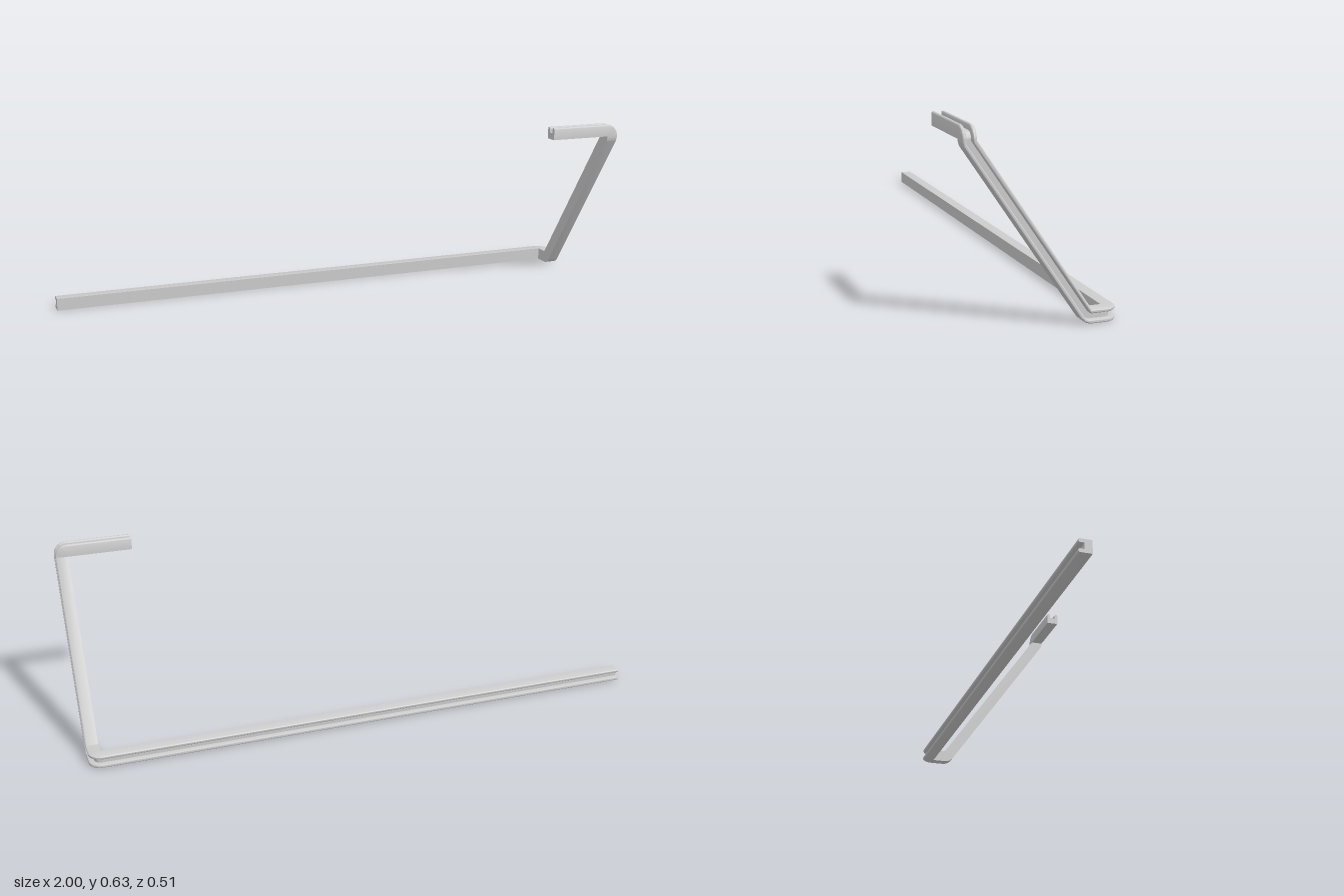
import * as THREE from 'three';
import { toCreasedNormals } from 'three/addons/utils/BufferGeometryUtils.js';

const DEPTH = 0.043, WIDTH = 0.044, FLANGE = 0.012, FLOOR = 0.024, R = 0.005;

// Grooved channel section: u runs from the web's back to the flange tips, v across.
function channelSection() {
  const s = new THREE.Shape();
  const flangeTip = (v0, v1) => {
    s.lineTo(DEPTH - R, v0);
    s.absarc(DEPTH - R, v0 + R, R, -Math.PI / 2, 0, false);
    s.absarc(DEPTH - R, v1 - R, R, 0, Math.PI / 2, false);
  };
  s.moveTo(0, -WIDTH);
  flangeTip(-WIDTH, -WIDTH + FLANGE);
  s.lineTo(FLOOR, -WIDTH + FLANGE);
  s.lineTo(FLOOR, -FLANGE);
  flangeTip(-FLANGE, 0);
  s.lineTo(0, 0);
  const pts = s.extractPoints(4).shape;
  return pts.filter((p, i) => p.distanceTo(pts[(i + 1) % pts.length]) > 1e-6);
}

// Stations along the inner edge; every bend pivots about that edge.
function stations() {
  const V3 = (x, y, z) => new THREE.Vector3(x, y, z);
  const xIn = 1 - DEPTH, yTop = 0.63 - DEPTH;
  const corners = [V3(-1, WIDTH, -0.212), V3(xIn, WIDTH, -0.212), V3(xIn, WIDTH, -0.165),
    V3(xIn, yTop, 0.211), V3(0.733, yTop, 0.211)];
  const u = V3(0, 0, -1), v = V3(0, 1, 0), list = [];
  const add = (p) => list.push({ p, u: u.clone(), v: v.clone() });
  const bend = (p, axis, angle, steps) => {
    for (let i = 0; i < steps; i++) {
      u.applyAxisAngle(axis, angle / steps);
      v.applyAxisAngle(axis, angle / steps);
      add(p);
    }
  };
  const slope = Math.atan2(yTop - WIDTH, 0.211 + 0.165);
  const X = V3(-1, 0, 0), Y = V3(0, -1, 0), Z = V3(0, 0, 1);
  add(corners[0]);
  add(corners[1]);
  bend(corners[1], Y, Math.PI / 2, 10);
  add(corners[2]);
  bend(corners[2], X, slope, 8);
  add(corners[3]);
  bend(corners[3], X, Math.PI / 2 - slope, 6);
  bend(corners[3], Z, Math.PI / 2, 10);
  add(corners[4]);
  return list;
}

// Skin the section along the stations and close both ends.
function sweep(section, frames) {
  const pos = [];
  const rings = frames.map(({ p, u, v }) =>
    section.map((c) => p.clone().addScaledVector(u, c.x).addScaledVector(v, c.y)));
  const tri = (a, b, c) => {
    const area = b.clone().sub(a).cross(c.clone().sub(a)).length();
    if (area > 1e-10) for (const q of [a, b, c]) pos.push(q.x, q.y, q.z);
  };
  const n = section.length;
  for (let i = 0; i < rings.length - 1; i++) {
    for (let j = 0; j < n; j++) {
      const k = (j + 1) % n, A = rings[i], B = rings[i + 1];
      tri(A[j], A[k], B[k]);
      tri(A[j], B[k], B[j]);
    }
  }
  const first = rings[0], last = rings[rings.length - 1];
  for (const [a, b, c] of THREE.ShapeUtils.triangulateShape(section, [])) {
    tri(first[a], first[c], first[b]);
    tri(last[a], last[b], last[c]);
  }
  const g = new THREE.BufferGeometry();
  g.setAttribute('position', new THREE.Float32BufferAttribute(pos, 3));
  return toCreasedNormals(g, 0.6);
}

export function createModel() {
  const group = new THREE.Group();
  group.name = 'bentChannelRail';
  const rail = new THREE.Mesh(sweep(channelSection(), stations()),
    new THREE.MeshStandardMaterial({ color: 0xcccccc }));
  rail.name = 'channelRail';
  group.add(rail);
  return group;
}
